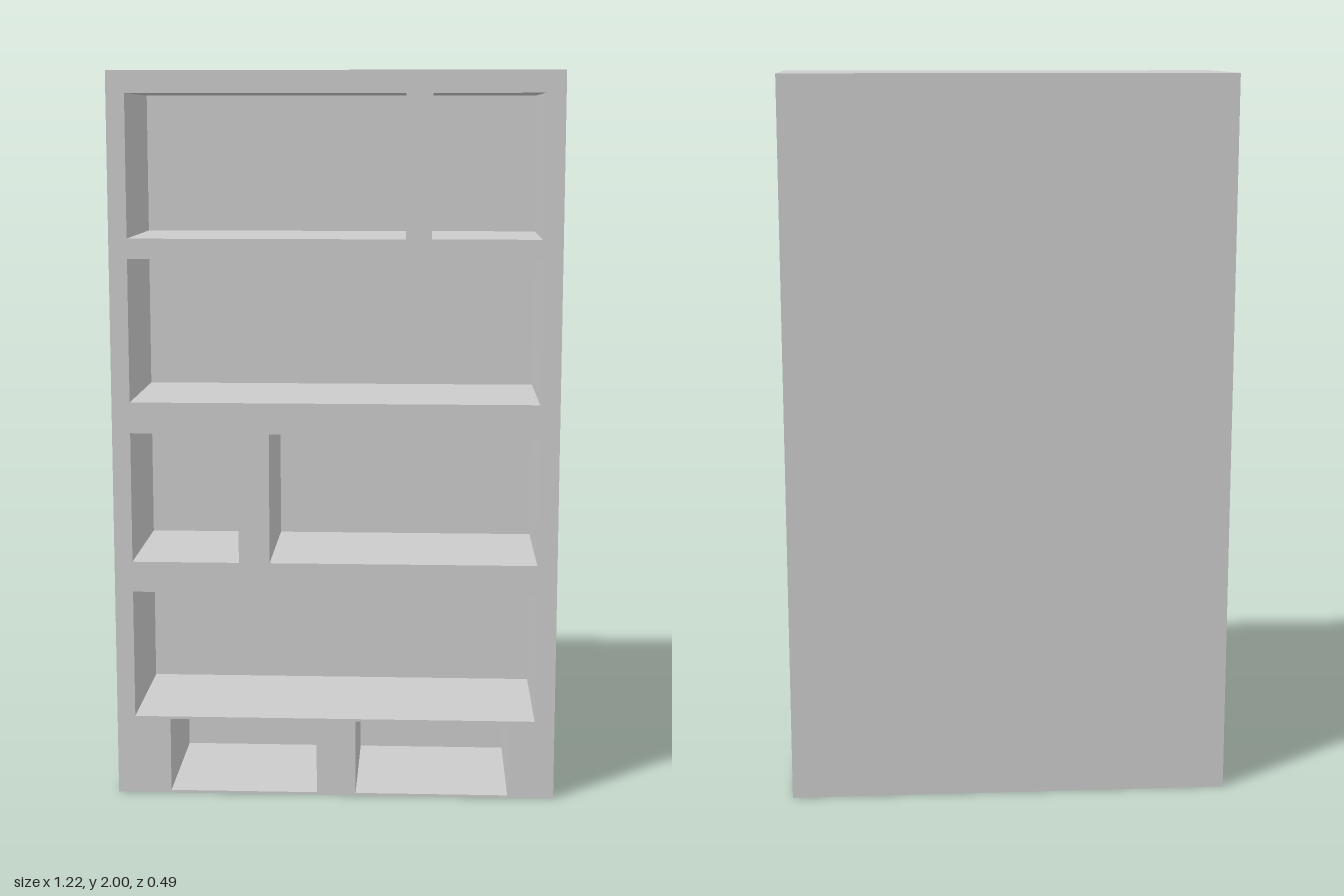
import * as THREE from 'three';

const W = 1.22, H = 2, D = 0.49, RECESS = 0.405;
const BACK = D - RECESS;
const material = new THREE.MeshStandardMaterial({ color: 0xcccccc });

// Rectangular outline given by its left, right, bottom and top
function rect(Type, [x0, x1, y0, y1]) {
  const path = new Type();
  path.moveTo(x0, y0);
  path.lineTo(x1, y0);
  path.lineTo(x1, y1);
  path.lineTo(x0, y1);
  path.closePath();
  return path;
}

// Board pierced by rectangular openings, running from the back panel to the front
function piercedBoard(name, outline, openings) {
  const shape = rect(THREE.Shape, outline);
  shape.holes = openings.map((o) => rect(THREE.Path, o));
  const geometry = new THREE.ExtrudeGeometry(shape, { depth: RECESS, bevelEnabled: false });
  const mesh = new THREE.Mesh(geometry, material);
  mesh.name = name;
  mesh.position.z = -D / 2 + BACK;
  return mesh;
}

export function createModel() {
  const group = new THREE.Group();
  group.name = 'bookcase';

  // Shelf compartments, top row first
  const compartments = [
    [-0.56, 0.19, 1.555, 1.94], [0.26, 0.555, 1.555, 1.94],
    [-0.56, 0.555, 1.11, 1.5],
    [-0.56, -0.265, 0.665, 1.025], [-0.18, 0.555, 0.665, 1.025],
    [-0.56, 0.555, 0.222, 0.58],
  ];
  // Bottom bays, with the thickness of their side linings
  const bays = [
    { name: 'rightBayLining', box: [-0.475, -0.037, 0.003, 0.218], side: 0.014 },
    { name: 'leftBayLining', box: [0.05, 0.49, 0.003, 0.218], side: 0.008 },
  ];

  group.add(piercedBoard('shelfCarcass', [-W / 2, W / 2, 0, H],
    [...compartments, ...bays.map((b) => b.box)]));

  // Thin open-fronted linings in the bottom bays
  for (const { name, box: [x0, x1, y0, y1], side } of bays) {
    group.add(piercedBoard(name, [x0, x1, y0, y1],
      [[x0 + side, x1 - side, y0 + 0.004, y1 - 0.003]]));
  }

  // Solid back panel
  const back = new THREE.Mesh(new THREE.BoxGeometry(W, H, BACK), material);
  back.name = 'backPanel';
  back.position.set(0, H / 2, -D / 2 + BACK / 2);
  group.add(back);

  return group;
}
